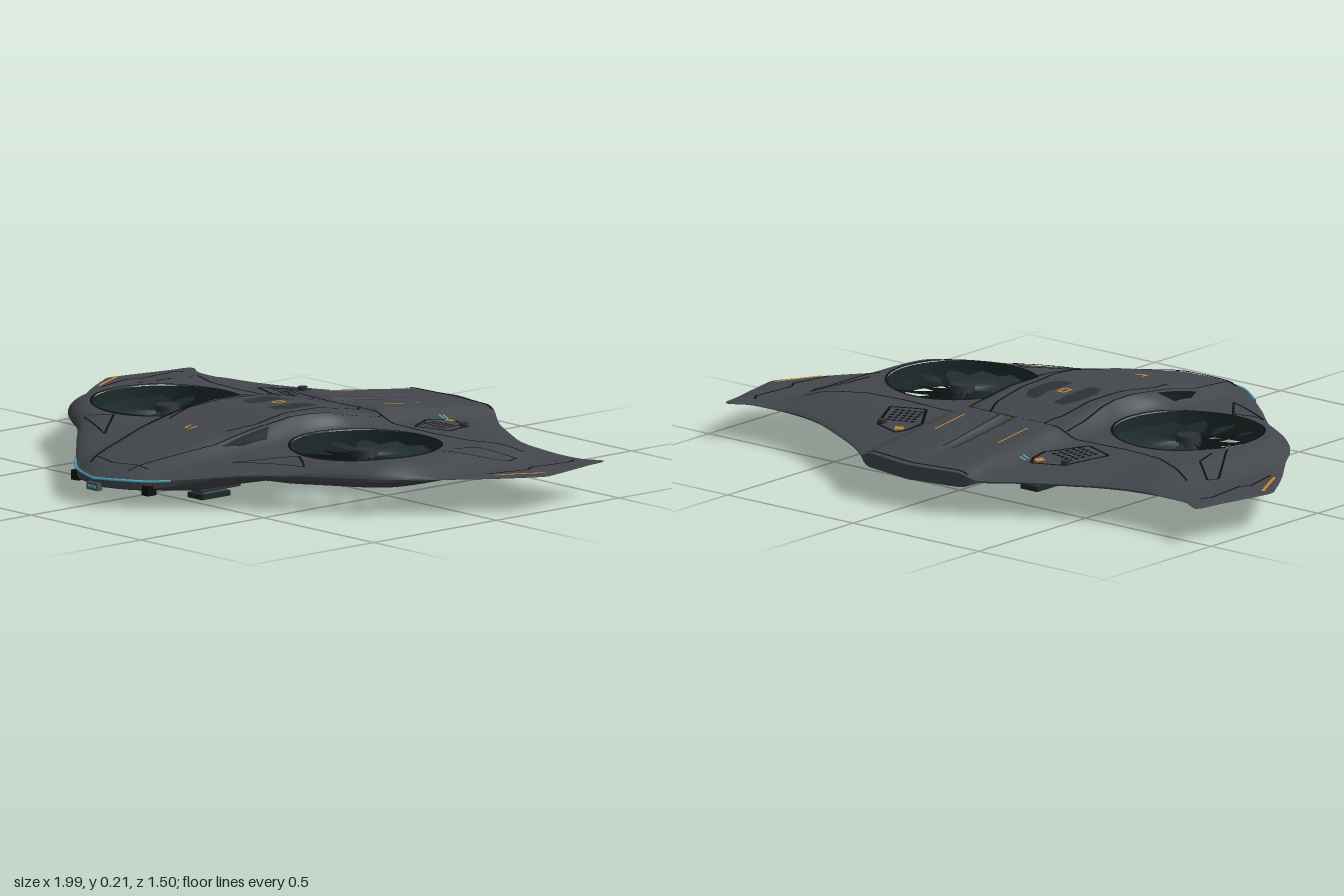
import * as THREE from 'three';
import { mergeGeometries, mergeVertices, toCreasedNormals } from 'three/addons/utils/BufferGeometryUtils.js';

const mat = (name, color, side = THREE.FrontSide) => {
  const m = new THREE.MeshStandardMaterial({ color, side });
  m.name = name;
  return m;
};
const step = THREE.MathUtils.smoothstep, lerp = THREE.MathUtils.lerp;
const FX = 0.45, FZ = 0.04, FR = 0.23; // fan centre and duct radius

// Interpolates [z, y] tables, z rising
function table(t, z) {
  if (z <= t[0][0]) return t[0][1];
  for (let i = 1; i < t.length; i++) {
    if (z <= t[i][0]) return lerp(t[i - 1][1], t[i][1], (z - t[i - 1][0]) / (t[i][0] - t[i - 1][0]));
  }
  return t[t.length - 1][1];
}
const SPINE = [[-0.72, 0.13], [-0.6, 0.145], [-0.4, 0.17], [-0.27, 0.187], [-0.235, 0.168], [-0.2, 0.18], [-0.05, 0.206],
  [0.1, 0.21], [0.2, 0.2], [0.4, 0.172], [0.6, 0.13], [0.74, 0.095]];
const SHOULDER = [[-0.7, 0.115], [-0.5, 0.127], [-0.3, 0.145], [-0.1, 0.155], [0.15, 0.155], [0.3, 0.145], [0.5, 0.12], [0.74, 0.09]];
const BELLY = [[-0.7, 0.085], [-0.3, 0.082], [-0.2, 0.065], [-0.1, 0.042], [0.3, 0.04], [0.55, 0.046], [0.74, 0.042]];

// Right half of the planform, tail to nose
const EDGE = new THREE.CatmullRomCurve3([
  [0, -0.745], [0.1, -0.728], [0.2, -0.708], [0.23, -0.69], [0.316, -0.626], [0.45, -0.55], [0.57, -0.49], [0.685, -0.46], [0.8, -0.458],
  [0.875, -0.466], [0.93, -0.497], [0.942, -0.492], [0.955, -0.42], [0.99, -0.25], [0.995, -0.21], [0.97, -0.16],
  [0.9, -0.05], [0.8, 0.085], [0.72, 0.2], [0.66, 0.255], [0.5, 0.364], [0.35, 0.5], [0.17, 0.663], [0.1, 0.71], [0, 0.744],
].map(([x, z]) => new THREE.Vector3(x, 0, z)), false, 'centripetal').getSpacedPoints(150);

function edgeDistance(x, z) {
  let best = 9;
  for (let i = 1; i < EDGE.length; i++) {
    const a = EDGE[i - 1], dx = EDGE[i].x - a.x, dz = EDGE[i].z - a.z;
    const t = THREE.MathUtils.clamp(((x - a.x) * dx + (z - a.z) * dz) / (dx * dx + dz * dz), 0, 1);
    best = Math.min(best, Math.hypot(x - a.x - dx * t, z - a.z - dz * t));
  }
  return best;
}

// Upper and lower hull heights at a point
function heights(px, z) {
  const x = Math.abs(px), r = Math.hypot(x - FX, z - FZ);
  const wing = step(x, 0.68, 0.84), half = lerp(0.16, 0.08, step(z, 0.2, 0.7));
  const body = (1 - step(x, half, half + 0.1)) * step(r, 0.225, 0.28);
  let top = lerp(table(SHOULDER, z), table(SPINE, z), body);
  if (z < -0.25) top -= 0.012 * (1 - step(x, 0.01, 0.035)) * step(-z, 0.25, 0.3) * (1 - step(-z, 0.5, 0.65));
  let low = lerp(table(BELLY, z), lerp(0.074, 0.086, step(r, 0.28, 0.4)), step(x, 0.2, 0.4));
  top = lerp(top, 0.112, wing);
  low = lerp(low, 0.101, wing);
  const nose = step(z, 0.45, 0.72), rear = step(-z, 0.1, 0.3);
  const u = Math.min(1, edgeDistance(x, z) / lerp(0.07, 0.2, rear));
  const tail = z < -0.5 ? 1 - step(x, 0.18, 0.25) : 0;
  const k = Math.max(Math.sqrt(1 - (1 - u) ** 2), 0.08, tail, nose * 0.45);
  const rim = lerp(0.106, 0.07, nose);
  return [lerp(rim, top, k), lerp(rim, low, k)];
}

function indexed(pos, idx) {
  const g = new THREE.BufferGeometry();
  g.setAttribute('position', new THREE.Float32BufferAttribute(pos, 3));
  g.setIndex(idx);
  return g;
}

// Half hull: rings spreading from the fan duct to the planform edge
function halfHull(s) {
  const loop = EDGE.map(p => [p.x, p.z]), RINGS = 28, wall = EDGE.length - 1;
  for (let i = 1; i < 60; i++) loop.push([0, lerp(0.744, -0.745, i / 60)]);
  const n = loop.length, pos = [], idx = [], base = (RINGS + 1) * n;
  for (const side of [0, 1]) for (let i = 0; i <= RINGS; i++) for (const [bx, bz] of loop) {
    const d = Math.hypot(bx - FX, bz - FZ), t = 1 - (1 - i / RINGS) ** 1.4;
    const x = lerp(FX + (bx - FX) / d * FR, bx, t), z = lerp(FZ + (bz - FZ) / d * FR, bz, t);
    pos.push(s * x, heights(x, z)[side], z);
  }
  const tri = (a, b, c) => (s > 0 ? idx.push(a, b, c) : idx.push(a, c, b));
  for (let j = 0; j < n; j++) {
    const j2 = (j + 1) % n;
    for (let i = 0; i < RINGS; i++) {
      const a = i * n + j, b = a + n, d = i * n + j2, c = d + n;
      tri(a, c, b); tri(a, d, c);
      tri(base + a, base + b, base + c); tri(base + a, base + c, base + d);
    }
    const t1 = RINGS * n + j, t2 = RINGS * n + j2;
    if (j < wall) { tri(t1, t2, base + t1); tri(t2, base + t2, base + t1); }
  }
  return indexed(pos, idx);
}

// Thin line laid over the upper hull
function ribbon(pts, width = 0.007, lift = 0.003) {
  const parts = [];
  for (let k = 1; k < pts.length; k++) {
    const [x0, z0] = pts[k - 1], [x1, z1] = pts[k], len = Math.hypot(x1 - x0, z1 - z0);
    const n = Math.ceil(len / 0.015), ox = -(z1 - z0) / len * width / 2, oz = (x1 - x0) / len * width / 2, pos = [], idx = [];
    for (let i = 0; i <= n; i++) {
      const x = lerp(x0, x1, i / n), z = lerp(z0, z1, i / n), y = heights(x, z)[0] + lift;
      pos.push(x + ox, y, z + oz, x - ox, y, z - oz);
      if (i) idx.push(2 * i - 2, 2 * i, 2 * i - 1, 2 * i - 1, 2 * i, 2 * i + 1);
    }
    parts.push(indexed(pos, idx));
  }
  const g = mergeGeometries(parts);
  g.computeVertexNormals();
  return g;
}

// Thin convex plate laid over the upper hull
function plate(pts, lift = 0.0025) {
  const cx = pts.reduce((a, p) => a + p[0], 0) / pts.length, cz = pts.reduce((a, p) => a + p[1], 0) / pts.length;
  const pos = [], idx = [], SUB = 6, n = pts.length * SUB;
  for (let i = 0; i <= 5; i++) for (let j = 0; j < n; j++) {
    const a = pts[Math.floor(j / SUB)], b = pts[(Math.floor(j / SUB) + 1) % pts.length], f = (j % SUB) / SUB;
    const x = lerp(cx, lerp(a[0], b[0], f), i / 5), z = lerp(cz, lerp(a[1], b[1], f), i / 5);
    pos.push(x, heights(x, z)[0] + lift, z);
    const q = i * n + j, e = i * n + (j + 1) % n;
    if (i) idx.push(q, q - n, e, e, q - n, e - n);
  }
  const g = indexed(pos, idx);
  g.computeVertexNormals();
  return g;
}

// One pitched, slightly swept fan blade
function blade(count) {
  const pos = [], idx = [], N = 6, span = Math.PI * 2 / count;
  for (let i = 0; i <= N; i++) {
    const r = lerp(0.035, 0.226, i / N), sweep = 0.25 * (i / N) ** 2, w = span * lerp(0.95, 0.78, i / N);
    for (const [f, y] of [[0, 0.012], [0.5, 0.002], [1, -0.012]]) {
      pos.push(r * Math.cos(sweep + f * w), y, r * Math.sin(sweep + f * w));
    }
    if (i) for (const q of [3 * i - 3, 3 * i - 2]) idx.push(q, q + 1, q + 3, q + 1, q + 4, q + 3);
  }
  const g = indexed(pos, idx);
  g.computeVertexNormals();
  return g;
}

export function createModel() {
  const D = THREE.DoubleSide, root = new THREE.Group();
  const hull = mat('hull grey', 0x43474c), line = mat('seam black', 0x0d0f11, D), fan = mat('fan dark teal', 0x1d2a2b, D);
  const panel = mat('panel slate', 0x2b3335, D), orange = mat('marking orange', 0xc9862a, D);
  const cyan = mat('light cyan', 0x4fb0c4, D), metal = mat('gear grey', 0x4d5659);
  const add = (name, geo, m, x = 0, y = 0, z = 0, parent = root) => {
    const mesh = new THREE.Mesh(geo, m);
    mesh.name = name;
    mesh.position.set(x, y, z);
    parent.add(mesh);
    return mesh;
  };
  const box = (name, w, h, d, m, x, y, z) => add(name, new THREE.BoxGeometry(w, h, d), m, x, y, z);

  add('hull', toCreasedNormals(mergeVertices(mergeGeometries([halfHull(1), halfHull(-1)])), 0.7), hull);

  for (const s of [1, -1]) {
    const flip = pts => pts.map(([x, z]) => [s * x, z]);
    const seam = (name, pts, m = line, w) => add(name, ribbon(flip(pts), w), m);

    // Lift fan in its duct
    const rotor = new THREE.Group();
    rotor.name = 'liftFan';
    rotor.position.set(s * FX, 0.112, FZ);
    rotor.scale.x = s;
    root.add(rotor);
    add('duct', new THREE.CylinderGeometry(FR, FR, 0.08, 64, 1, true), fan, 0, 0.001, 0, rotor);
    const bladeGeo = blade(14);
    for (let i = 0; i < 14; i++) add('blade', bladeGeo, fan, 0, 0, 0, rotor).rotation.y = i * Math.PI / 7;
    add('hub', new THREE.CylinderGeometry(0.036, 0.044, 0.05, 24), panel, 0, 0.005, 0, rotor);
    const circle = Array.from({ length: 65 }, (_, i) => [FX + 0.232 * Math.cos(i * Math.PI / 32), FZ + 0.232 * Math.sin(i * Math.PI / 32)]);
    seam('ductLip', circle, line, 0.008);

    // Panel seams
    seam('canopySeam', [[0.2, -0.25], [0.2, -0.16], [0.175, 0.02], [0.18, 0.2], [0.17, 0.4], [0.1, 0.64], [0.085, 0.68]]);
    seam('canopyInnerSeam', [[0.1, -0.25], [0.13, -0.17], [0.135, 0.04], [0.16, 0.22], [0.13, 0.32]]);
    seam('crossSeam', [[0, -0.245], [0.24, -0.25]]);
    seam('spineSeam', [[0.02, -0.56], [0.03, -0.27]], panel, 0.01);
    seam('frontSeam', [[0.42, 0.285], [0.5, 0.335], [0.29, 0.44], [0.42, 0.285]]);
    seam('wingSeam', [[0.68, -0.12], [0.7, -0.2], [0.79, -0.27], [0.8, -0.23], [0.69, -0.06]]);
    seam('shoulderSeam', [[0.24, -0.25], [0.44, -0.24], [0.58, -0.25], [0.76, -0.33]]);
    seam('tipSeam', [[0.885, -0.42], [0.905, -0.39], [0.89, -0.24], [0.91, -0.21], [0.88, -0.08]]);
    seam('tailSeam', [[0, -0.722], [0.2, -0.7]], line, 0.009);
    seam('noseSeam', [[0, 0.665], [0.13, 0.64]]);

    // Rear vent with perforations
    const vent = [[0.25, -0.45], [0.27, -0.485], [0.37, -0.45], [0.435, -0.315], [0.325, -0.275], [0.245, -0.39]];
    add('ventPanel', plate(flip(vent)), hull);
    seam('ventFrame', [...vent, vent[0]], line, 0.01);
    for (let i = 0; i < 5; i++) for (let j = 0; j < 5; j++) {
      const x = 0.275 + j * 0.02 + i * 0.008, z = -0.395 + i * 0.02 - j * 0.005;
      add('ventHole', plate(flip([[x, z], [x + 0.013, z - 0.003], [x + 0.016, z + 0.009], [x + 0.003, z + 0.012]]), 0.005), line);
    }
    add('ventMarking', plate(flip([[0.26, -0.46], [0.285, -0.475], [0.3, -0.45], [0.275, -0.438]]), 0.006), orange);
    add('ventKnob', new THREE.CylinderGeometry(0.014, 0.014, 0.016, 16), panel, s * 0.365, heights(0.365, -0.435)[0] + 0.005, -0.435);
    for (const z of [-0.48, -0.465]) seam('rearLight', [[0.222, z], [0.245, z]], cyan, 0.006);

    // Markings, hatch and intake
    seam('spineMarking', [[0.125, -0.47], [0.125, -0.33]], orange, 0.006);
    seam('tipMarking', [[0.972, -0.225], [0.9, -0.085]], orange, 0.01);
    add('hatchPanel', plate(flip([[0.035, -0.105], [0.075, -0.105], [0.1, -0.06], [0.1, 0.03], [0.075, 0.07], [0.035, 0.07]])), panel);
    add('sideIntake', plate(flip([[0.19, 0.2], [0.225, 0.24], [0.215, 0.33], [0.185, 0.39]]), 0.004), line);

    // Nose light follows the planform edge
    const rim = EDGE.filter(p => p.z > 0.615).map(p => new THREE.Vector3(s * p.x, heights(p.x, p.z)[0] - 0.001, p.z + 0.002));
    add('noseLight', new THREE.TubeGeometry(new THREE.CatmullRomCurve3(rim), 30, 0.004, 6), cyan);
    box('noseSensor', 0.03, 0.03, 0.035, line, s * 0.16, 0.055, 0.662);

    // Landing gear: [z, strut width, pad length]
    for (const [z, w, len] of [[0.44, 0.035, 0.115], [-0.34, 0.055, 0.11]]) {
      const y = heights(0.185, z)[1];
      box('gearWell', 0.11, 0.006, 0.16, panel, s * 0.185, y - 0.001, z);
      box('gearStrut', 0.035, y - 0.01, w, metal, s * 0.185, y / 2 + 0.012, z);
      box('gearPad', 0.068, 0.016, len, fan, s * 0.185, 0.018, z);
      box('gearPadTop', 0.055, 0.01, len * 0.8, metal, s * 0.185, 0.03, z);
    }
    // Belly grille slats
    for (let i = 0; i < 7; i++) box('bellySlat', 0.05, 0.003, 0.006, orange, s * 0.035, 0.0025, -0.03 + i * 0.03);
  }

  // Centre markings
  add('hatchMarking', ribbon([[-0.012, -0.028], [0.012, -0.028], [0.012, 0.008], [-0.012, 0.008], [-0.012, -0.032]], 0.009, 0.005), orange);
  add('noseMarking', ribbon([[-0.012, 0.335], [-0.012, 0.362], [0.012, 0.362], [0.012, 0.335]], 0.008, 0.005), orange);

  // Belly pack, hanging plate and chin sensor
  box('bellyPack', 0.2, 0.03, 0.26, metal, 0, 0.034, 0.085);
  box('bellyRecess', 0.16, 0.004, 0.22, panel, 0, 0.018, 0.085);
  box('bellyPlate', 0.14, 0.004, 0.205, panel, 0, 0.006, 0.06);
  box('bellyLatch', 0.07, 0.006, 0.045, line, 0, 0.003, -0.025);
  box('bellyHanger', 0.03, 0.02, 0.03, line, 0, 0.014, 0.06);
  box('chinSensor', 0.05, 0.024, 0.02, metal, 0, 0.055, 0.74);
  box('chinLight', 0.035, 0.008, 0.004, cyan, 0, 0.055, 0.75);
  return root;
}
